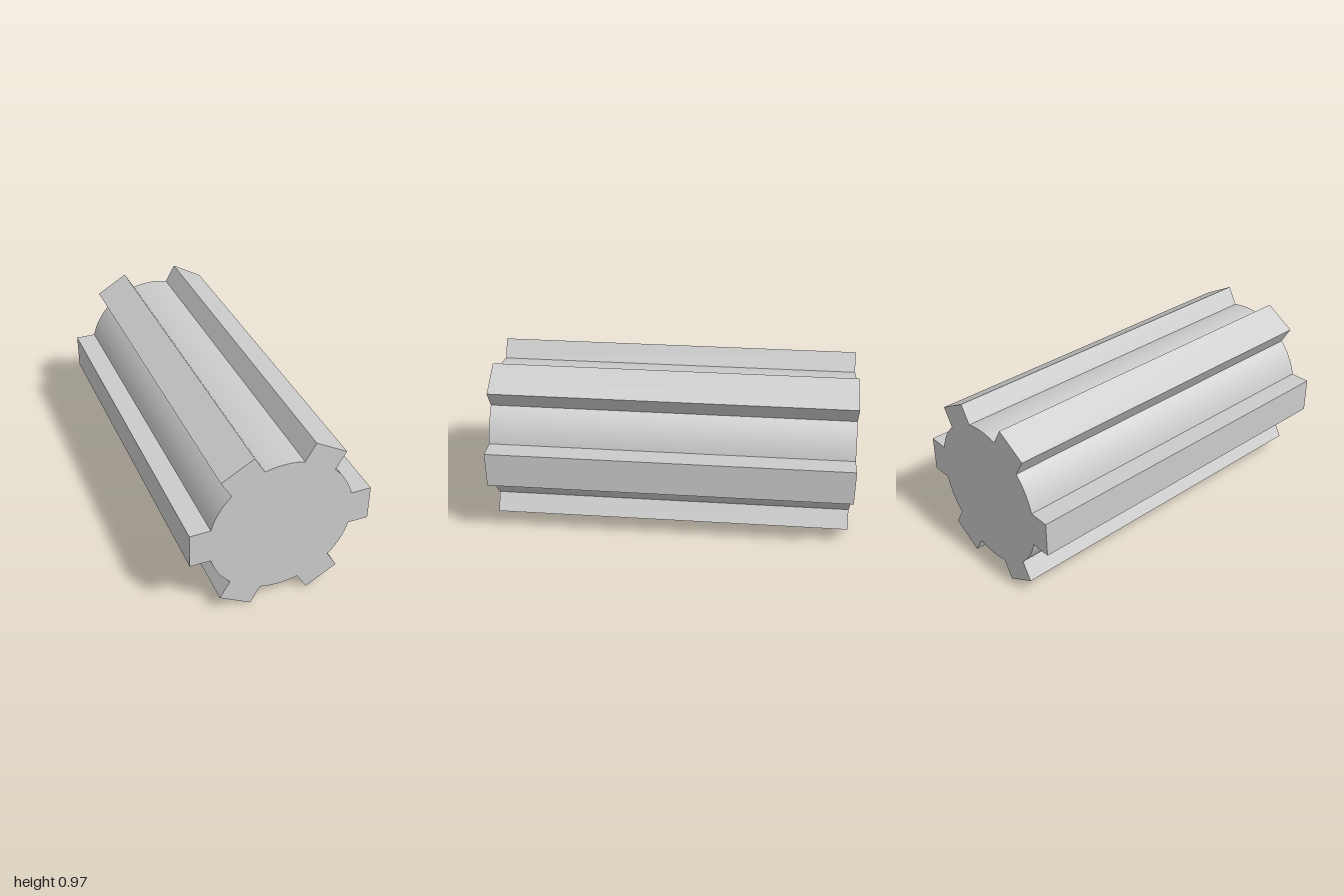
import * as THREE from 'three';
import { toCreasedNormals } from 'three/addons/utils/BufferGeometryUtils.js';

const TEETH = 6;
const ROOT_RADIUS = 0.4;   // round core of the shaft
const TIP = 0.5;           // distance from axis to the flat tooth face
const HALF_WIDTH = 0.1;    // half the tooth width
const LENGTH = 2;

// Cross-section: straight-sided teeth joined by arcs of the core circle
function splineProfile() {
  const shape = new THREE.Shape();
  const pitch = (Math.PI * 2) / TEETH;
  const rootAngle = Math.asin(HALF_WIDTH / ROOT_RADIUS);
  const rootX = ROOT_RADIUS * Math.cos(rootAngle);
  const axis = new THREE.Vector2();

  shape.moveTo(rootX, -HALF_WIDTH);
  for (let i = 0; i < TEETH; i++) {
    const a = i * pitch;
    for (const y of [-HALF_WIDTH, HALF_WIDTH]) {
      const corner = new THREE.Vector2(TIP, y).rotateAround(axis, a);
      shape.lineTo(corner.x, corner.y);
    }
    shape.absarc(0, 0, ROOT_RADIUS, a + rootAngle, a + pitch - rootAngle, false);
  }
  return shape;
}

export function createModel() {
  const group = new THREE.Group();
  group.name = 'splineShaft';

  const extruded = new THREE.ExtrudeGeometry(splineProfile(), {
    depth: LENGTH, bevelEnabled: false, curveSegments: 16,
  });
  // Centre along z and rest the lower tooth corners on the ground
  const centreY = TIP * Math.sin(Math.PI / 3) + HALF_WIDTH * Math.cos(Math.PI / 3);
  extruded.translate(0, centreY, -LENGTH / 2);

  // Smooth grooves, sharp tooth edges
  const shaft = new THREE.Mesh(
    toCreasedNormals(extruded, 0.4),
    new THREE.MeshStandardMaterial({ color: 0xcccccc }),
  );
  shaft.name = 'toothedShaft';
  group.add(shaft);
  return group;
}
